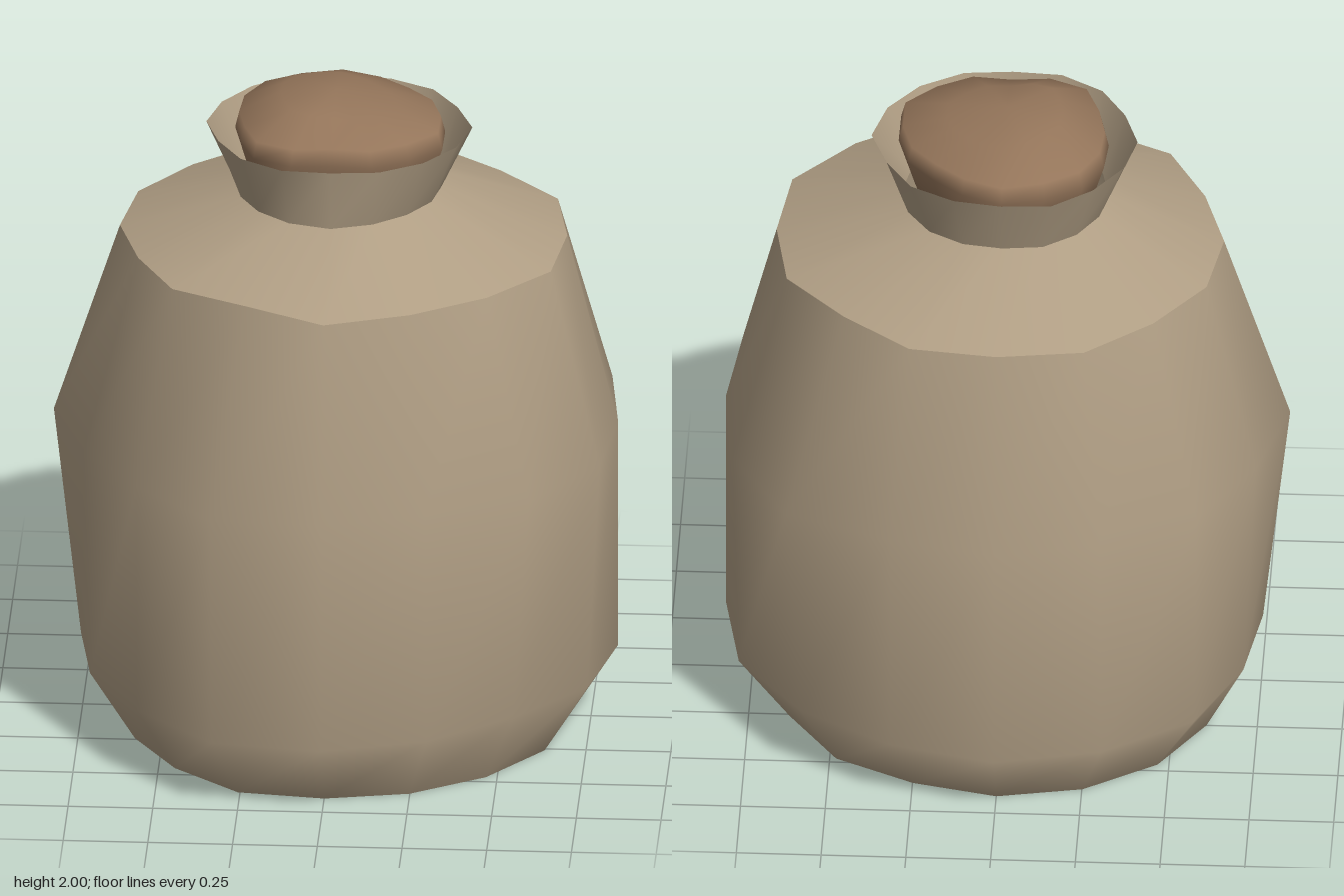
import * as THREE from 'three';

const SIDES = 16;

// A ring is a list of 16 radii, starting at the front (+z) and turning towards +x.
function ring(radii, y, scale = 1, tilt = 0) {
  return radii.map((r, i) => {
    const a = (i / SIDES) * Math.PI * 2;
    const x = Math.sin(a) * r * scale;
    return [x, y + tilt * x, Math.cos(a) * r * scale];
  });
}

// Smooth skin through rings ordered from bottom to top, with optional end points.
function skin(rings, bottom, top) {
  const pos = rings.flat(2), index = [];
  for (let k = 0; k < rings.length - 1; k++) {
    for (let i = 0; i < SIDES; i++) {
      const a = k * SIDES + i, b = k * SIDES + (i + 1) % SIDES;
      index.push(a, b, b + SIDES, a, b + SIDES, a + SIDES);
    }
  }
  const last = (rings.length - 1) * SIDES;
  let next = rings.length * SIDES;
  if (bottom) {
    pos.push(...bottom);
    for (let i = 0; i < SIDES; i++) index.push(next, (i + 1) % SIDES, i);
    next++;
  }
  if (top) {
    pos.push(...top);
    for (let i = 0; i < SIDES; i++) index.push(last + i, last + (i + 1) % SIDES, next);
  }
  const g = new THREE.BufferGeometry();
  g.setAttribute('position', new THREE.Float32BufferAttribute(pos, 3));
  g.setIndex(index);
  g.computeVertexNormals();
  return g;
}

export function createModel() {
  const group = new THREE.Group();
  const clay = new THREE.MeshStandardMaterial({ color: 0xb09e84, side: THREE.DoubleSide });
  clay.name = 'clay';
  const cork = new THREE.MeshStandardMaterial({ color: 0x94755a });
  cork.name = 'cork';
  const add = (name, geometry, material) => {
    const m = new THREE.Mesh(geometry, material);
    m.name = name;
    group.add(m);
  };

  // Uneven hand-thrown outlines
  const foot = ring([.65, .65, .66, .68, .68, .68, .68, .65, .66, .66, .66, .65, .64, .63, .64, .67], 0);
  const low = ring([.83, .80, .78, .82, .83, .84, .82, .81, .83, .82, .82, .77, .755, .77, .79, .85], .23);
  const belly = ring([.82, .79, .85, .86, .83, .86, .88, .81, .82, .81, .83, .81, .835, .79, .79, .86], .95);
  const shoulder = ring([.70, .66, .665, .70, .68, .69, .65, .675, .655, .67, .64, .65, .64, .62, .65, .62], 1.545);
  const neckBase = ring([.335, .32, .31, .31, .31, .31, .31, .305, .30, .31, .305, .30, .30, .30, .31, .325], 1.695);
  const rim = ring([.36, .375, .382, .39, .40, .377, .382, .37, .365, .385, .375, .377, .385, .37, .38, .378], 1.885);

  // Jar, split where the edges are sharp
  add('body', skin([foot, low, belly, shoulder]), clay);
  add('shoulder', skin([shoulder, neckBase]), clay);
  add('neck', skin([neckBase, rim]), clay);
  const baseEdge = foot.map(p => [...p]);
  add('base', skin([baseEdge], [0, 0, 0]), clay);

  // Lumpy stopper, leaning slightly
  const lump = [.275, .31, .32, .345, .32, .31, .295, .31, .335, .325, .33, .315, .30, .30, .33, .31];
  add('stopper', skin([
    ring(lump, 1.72, .85),
    ring(lump, 1.87, 1),
    ring(lump, 1.92, .96),
    ring(lump, 1.972, .55, -.09),
  ], [0, 1.72, 0], [0, 2, 0]), cork);

  return group;
}
